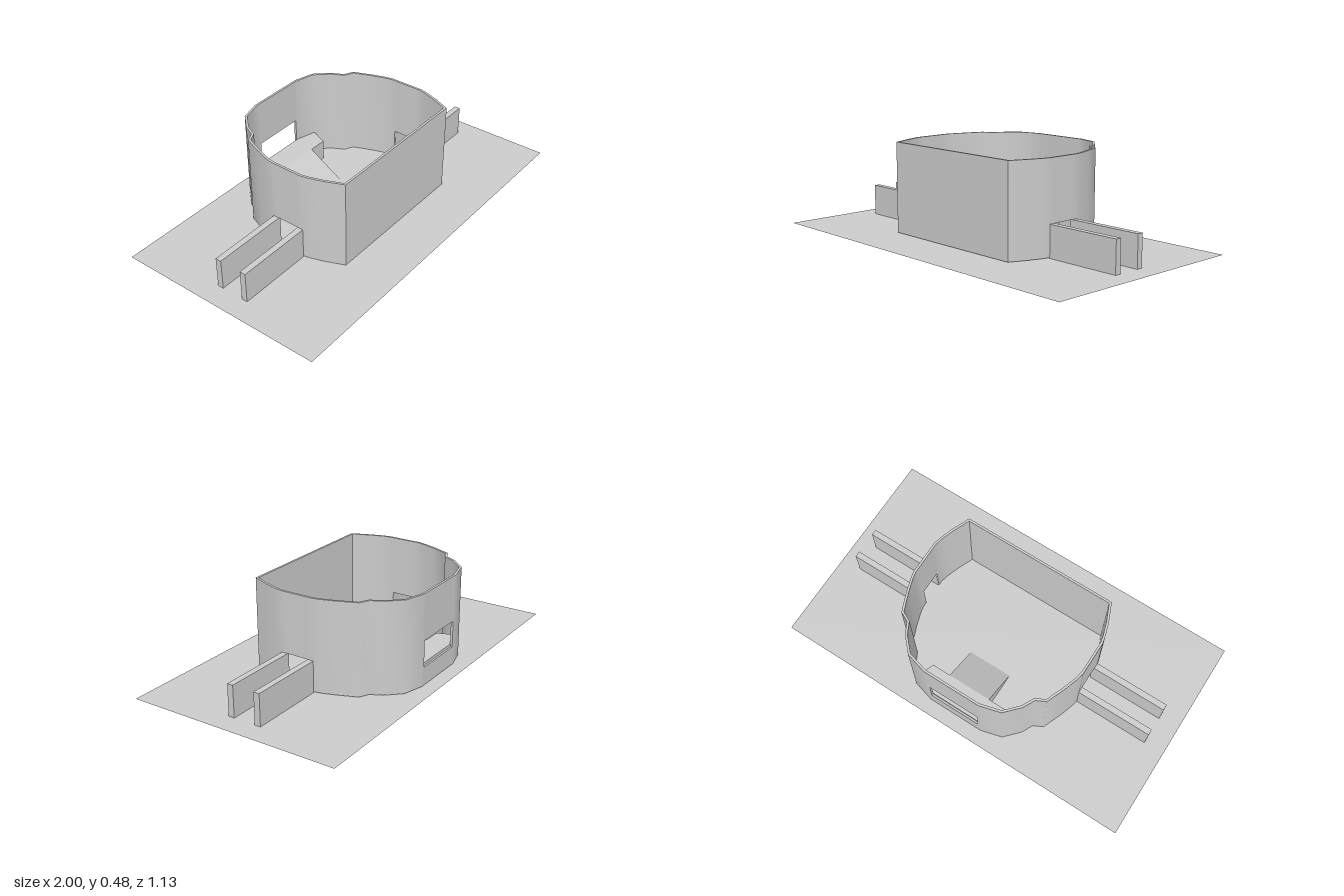
import * as THREE from 'three';
import { mergeGeometries, toCreasedNormals } from 'three/addons/utils/BufferGeometryUtils.js';

const WALL_T = 0.012, WALL_H = 0.48, FLOOR = 0.004;
const DOOR_H = 0.165;

const material = new THREE.MeshStandardMaterial({ color: 0xcccccc });
const sheetMaterial = new THREE.MeshStandardMaterial({ color: 0xcccccc, side: THREE.DoubleSide });

function add(parent, name, geometry, mat = material) {
  const mesh = new THREE.Mesh(geometry, mat);
  mesh.name = name;
  parent.add(mesh);
  return mesh;
}

// Raise a plan outline of [x, z] points from y0 to y1
function raise(points, y0, y1) {
  const shape = new THREE.Shape(points.map(([x, z]) => new THREE.Vector2(x, -z)));
  const geometry = new THREE.ExtrudeGeometry(shape, { depth: y1 - y0, bevelEnabled: false });
  return geometry.rotateX(-Math.PI / 2).translate(0, y0, 0);
}

// Plan of the wall's left half, from the front corner round to the back window
const half = [
  [0.415, 0.295], [0.455, 0.2], [0.478, 0.13], [0.487, 0.09], [0.487, 0.06],
  [0.487, -0.06], [0.487, -0.09], [0.478, -0.13], [0.455, -0.2], [0.415, -0.3],
  [0.365, -0.325], [0.335, -0.385], [0.265, -0.46], [0.155, -0.49], [0.14, -0.49],
];
const outer = [...half, ...half.map(([x, z]) => [-x, z]).reverse()];
const count = outer.length;

// Mitred inward offset of the closed outline
const inner = outer.map(([x, z], i) => {
  const normal = (a, b) => {
    const dx = b[0] - a[0], dz = b[1] - a[1], l = Math.hypot(dx, dz);
    return [dz / l, -dx / l];
  };
  const a = normal(outer[(i + count - 1) % count], outer[i]);
  const b = normal(outer[i], outer[(i + 1) % count]);
  const k = WALL_T / (1 + a[0] * b[0] + a[1] * b[1]);
  return [x + (a[0] + b[0]) * k, z + (a[1] + b[1]) * k];
});

// A run of wall between two outline points
function wallRun(from, to, y0, y1) {
  const ids = [];
  for (let i = from; i <= to; i++) ids.push(i % count);
  return raise([...ids.map(i => outer[i]), ...ids.reverse().map(i => inner[i])], y0, y1);
}

export function createModel() {
  const model = new THREE.Group();
  model.name = 'walledEnclosure';

  // Ground sheet
  add(model, 'groundSheet', new THREE.PlaneGeometry(2, 1.13).rotateX(-Math.PI / 2), sheetMaterial);

  // Curved wall with a doorway on each side and a window at the back
  const last = count - 1, windowStart = half.length - 1;
  const wall = mergeGeometries([
    wallRun(last - 4, count + 4, FLOOR, WALL_H),          // front
    wallRun(4, 5, DOOR_H, WALL_H),                        // left lintel
    wallRun(5, windowStart, FLOOR, WALL_H),               // back left
    wallRun(windowStart, windowStart + 1, FLOOR, 0.1),    // window sill
    wallRun(windowStart, windowStart + 1, 0.24, WALL_H),  // window lintel
    wallRun(windowStart + 1, last - 5, FLOOR, WALL_H),    // back right
    wallRun(last - 5, last - 4, DOOR_H, WALL_H),          // right lintel
  ]);
  add(model, 'enclosureWall', toCreasedNormals(wall, 0.75));

  // Pairs of low walls leading away from the doorways
  for (const side of [1, -1]) {
    for (const z of [0.075, -0.075]) {
      const passage = add(model, side > 0 ? 'leftPassageWall' : 'rightPassageWall',
        new THREE.BoxGeometry(0.41, DOOR_H, 0.032));
      passage.position.set(side * 0.686, DOOR_H / 2, z);
    }
  }

  // Raised platform below the window
  const platform = [[0.26, -0.452], [0.22, -0.355], [-0.22, -0.355], [-0.26, -0.452],
    [-0.155, -0.48], [0.155, -0.48]];
  add(model, 'platform', raise(platform, FLOOR, 0.115));

  // Ramp from the platform down to the ground
  const slope = new THREE.Shape([[0, 0], [0.19, 0], [0, 0.111]].map(p => new THREE.Vector2(...p)));
  const ramp = add(model, 'ramp', new THREE.ExtrudeGeometry(slope, { depth: 0.24, bevelEnabled: false })
    .rotateY(-Math.PI / 2));
  ramp.position.set(0.12, FLOOR, -0.355);

  return model;
}
